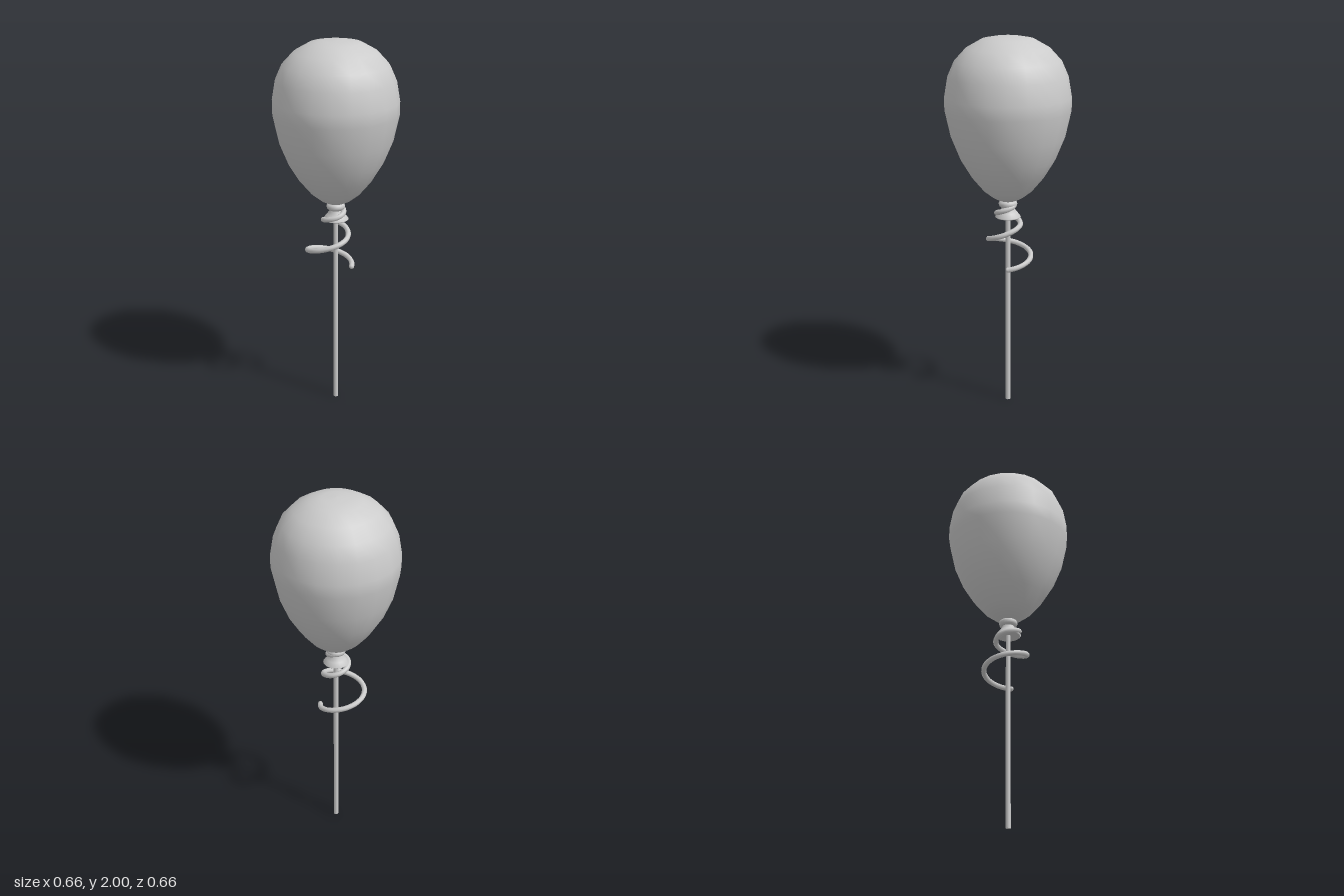
import * as THREE from 'three';

const material = new THREE.MeshStandardMaterial({ color: 0xcccccc, side: THREE.DoubleSide });

function addPart(parent, name, geometry, y = 0) {
  const mesh = new THREE.Mesh(geometry, material);
  mesh.name = name;
  mesh.position.y = y;
  parent.add(mesh);
  return mesh;
}

// Revolve [radius, height] pairs, listed bottom to top
function lathe(profile, sides) {
  return new THREE.LatheGeometry(profile.map(([r, y]) => new THREE.Vector2(r, y)), sides);
}

export function createModel() {
  const model = new THREE.Group();
  model.name = 'balloonOnStick';

  // Teardrop balloon
  addPart(model, 'balloon', lathe([
    [0, 1.13], [0.035, 1.137], [0.08, 1.158], [0.13, 1.197], [0.195, 1.275], [0.25, 1.365],
    [0.297, 1.48], [0.328, 1.62], [0.328, 1.69], [0.31, 1.795], [0.275, 1.875], [0.215, 1.94],
    [0.135, 1.985], [0.07, 1.997], [0, 2],
  ], 20));

  // Tied neck: rolled knot and flared skirt
  const knot = addPart(model, 'knot', new THREE.TorusGeometry(0.03, 0.02, 10, 20), 1.122);
  knot.rotation.x = Math.PI / 2;
  addPart(model, 'neckSkirt', lathe([
    [0.012, 1.05], [0.062, 1.046], [0.068, 1.052], [0.05, 1.075], [0.034, 1.095], [0.03, 1.125],
  ], 20));

  // Stick
  addPart(model, 'stick', new THREE.CylinderGeometry(0.013, 0.013, 1.12, 12), 0.56);

  // Curled ribbon: one quarter turn per [radius, height], widening downwards
  const ribbon = new THREE.Group();
  ribbon.name = 'ribbon';
  model.add(ribbon);
  const quarters = [
    [0.085, 0.78], [0.12, 0.822], [0.152, 0.873], [0.1, 0.928], [0.066, 0.974],
    [0.066, 1.012], [0.066, 1.045], [0.06, 1.072], [0.042, 1.1], [0.035, 1.12],
  ];
  const points = [];
  const radii = new THREE.SplineCurve(quarters.map(([r, y]) => new THREE.Vector2(r, y)));
  const steps = (quarters.length - 1) * 4;
  for (let i = 0; i <= steps; i++) {
    const p = radii.getPoint(i / steps);
    const a = (i / 4) * Math.PI / 2;
    points.push(new THREE.Vector3(p.x * Math.cos(a), p.y, -p.x * Math.sin(a)));
  }
  const path = new THREE.CatmullRomCurve3(points);
  addPart(ribbon, 'ribbonCurl', new THREE.TubeGeometry(path, 120, 0.014, 8));
  for (const end of [points[0], points[steps]]) {
    addPart(ribbon, 'ribbonEnd', new THREE.SphereGeometry(0.014, 8, 6)).position.copy(end);
  }

  return model;
}
